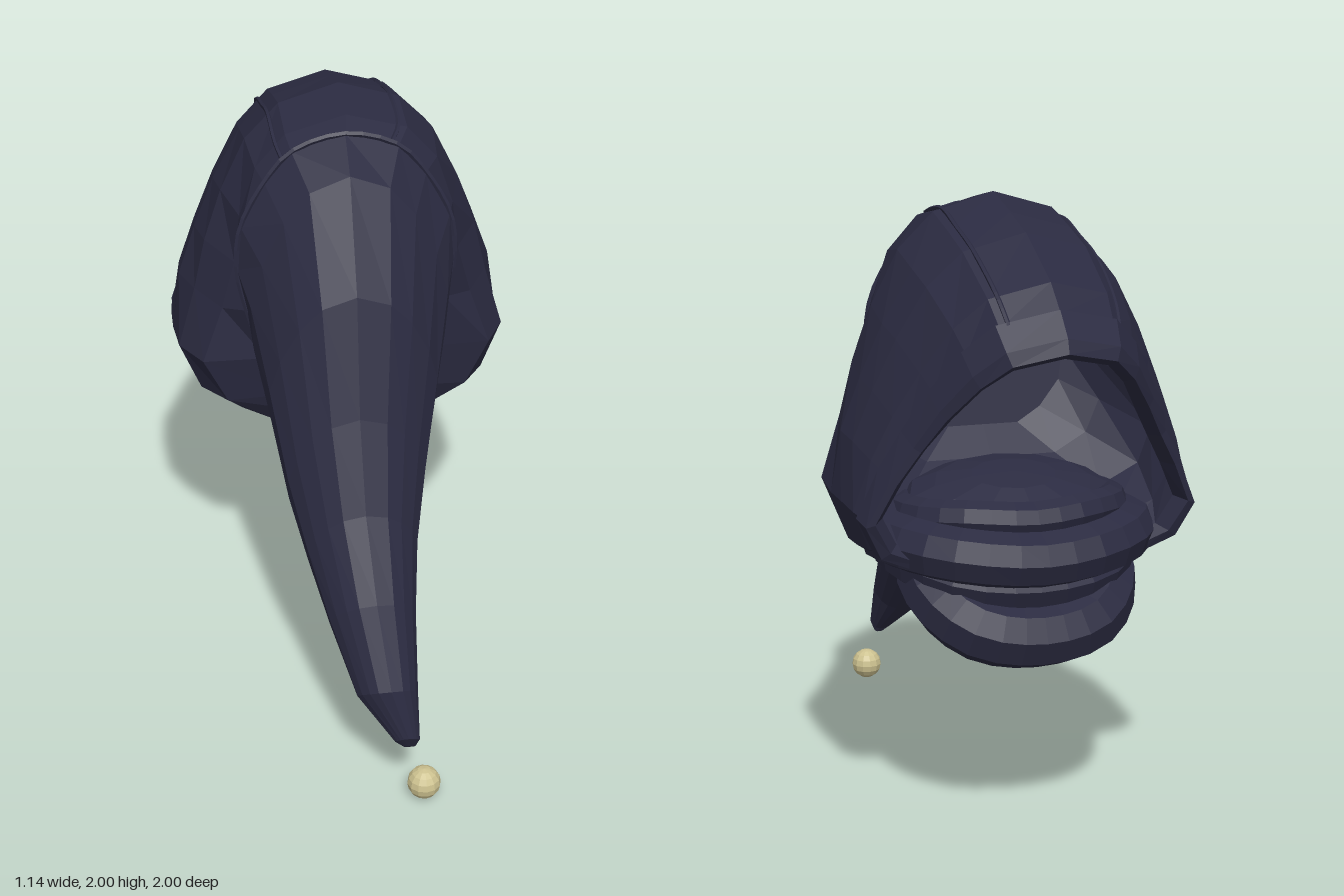
import * as THREE from 'three';

// Heights of the side points of every cloth ring, from bottom (0) to top (1)
const LEVELS = [0, 0.08, 0.22, 0.4, 0.55, 0.7, 0.85, 0.95];

// One closed ring between a bottom and a top point [z, y]; xs are half widths
// at LEVELS, sag bows the sides toward the front, cx shifts the ring sideways
function ring({ top, bottom, xs, sag = 0, cx = 0 }) {
  const at = (x, v) => new THREE.Vector3(
    cx + x,
    THREE.MathUtils.lerp(bottom[1], top[1], v),
    THREE.MathUtils.lerp(bottom[0], top[0], v) + sag * Math.sin(Math.PI * v ** 1.3)
  );
  const side = (s) => LEVELS.map((v, i) => at(s * xs[i], v));
  return [at(0, 0), ...side(1), at(0, 1), ...side(-1).reverse()];
}

// Skin a row of rings, optionally closing the last one with a fan
function skin(rings, capEnd) {
  const n = rings[0].length;
  const points = rings.flat();
  const index = [];
  for (let r = 0; r < rings.length - 1; r++) {
    for (let i = 0; i < n; i++) {
      const j = (i + 1) % n;
      const a = r * n + i, b = r * n + j, c = a + n, d = b + n;
      index.push(a, c, b, b, c, d);
    }
  }
  if (capEnd) {
    const last = rings[rings.length - 1];
    const mid = new THREE.Vector3();
    last.forEach((p) => mid.addScaledVector(p, 1 / n));
    const m = points.push(mid) - 1;
    const base = (rings.length - 1) * n;
    for (let i = 0; i < n; i++) index.push(base + i, m, base + (i + 1) % n);
  }
  const geo = new THREE.BufferGeometry().setFromPoints(points);
  geo.setIndex(index);
  geo.computeVertexNormals();
  return geo;
}

export function createModel() {
  const model = new THREE.Group();
  model.name = 'hoodWithTail';

  const cloth = new THREE.MeshStandardMaterial({ color: 0x2b2b41, flatShading: true, side: THREE.DoubleSide });
  cloth.name = 'navy cloth';
  const beadColour = new THREE.MeshStandardMaterial({ color: 0xcdc290, flatShading: true });
  beadColour.name = 'pale gold';

  const add = (name, geometry, material = cloth) => {
    const mesh = new THREE.Mesh(geometry, material);
    mesh.name = name;
    model.add(mesh);
    return mesh;
  };
  const tube = (name, points, radius, closed, sides = 5, steps = 30) => add(name,
    new THREE.TubeGeometry(new THREE.CatmullRomCurve3(points, closed, 'centripetal'), steps, radius, sides, closed));

  // Hood shell, from the tail seam back to the face opening
  const shell = [
    { top: [-0.02, 1.935], bottom: [0.02, 0.925], xs: [0.1, 0.18, 0.27, 0.33, 0.36, 0.345, 0.265, 0.175], cx: -0.015 },
    { top: [-0.1, 1.965], bottom: [-0.08, 0.85], xs: [0.25, 0.41, 0.49, 0.42, 0.375, 0.355, 0.3, 0.2] },
    { top: [-0.28, 2], bottom: [-0.2, 0.835], xs: [0.35, 0.49, 0.56, 0.5, 0.46, 0.4, 0.315, 0.2] },
    { top: [-0.45, 1.955], bottom: [-0.35, 0.83], xs: [0.38, 0.51, 0.568, 0.54, 0.48, 0.41, 0.315, 0.2] },
    { top: [-0.6, 1.91], bottom: [-0.46, 0.84], xs: [0.38, 0.51, 0.565, 0.53, 0.47, 0.4, 0.31, 0.2], sag: 0.02 },
    { top: [-0.83, 1.79], bottom: [-0.55, 0.86], xs: [0.36, 0.5, 0.555, 0.505, 0.445, 0.37, 0.285, 0.19], sag: 0.05 },
    { top: [-0.92, 1.71], bottom: [-0.585, 0.87], xs: [0.34, 0.48, 0.54, 0.48, 0.415, 0.345, 0.265, 0.18], sag: 0.07 },
  ].map(ring);
  add('hoodShell', skin(shell));

  // Raised hem around the opening, turning inward into the lining
  const hem = [
    { top: [-0.915, 1.72], bottom: [-0.58, 0.865], xs: [0.35, 0.495, 0.555, 0.495, 0.431, 0.361, 0.28, 0.192], sag: 0.07 },
    { top: [-0.985, 1.645], bottom: [-0.65, 0.865], xs: [0.345, 0.487, 0.542, 0.478, 0.41, 0.345, 0.265, 0.18], sag: 0.075 },
    { top: [-1, 1.6], bottom: [-0.66, 0.89], xs: [0.33, 0.46, 0.515, 0.455, 0.39, 0.325, 0.245, 0.165], sag: 0.075 },
    { top: [-0.96, 1.58], bottom: [-0.62, 0.91], xs: [0.31, 0.43, 0.48, 0.42, 0.36, 0.295, 0.225, 0.15], sag: 0.085 },
  ].map(ring);
  add('openingHem', skin([shell[6], ...hem]));

  // Lining inside the hood, its floor rising toward the front
  const lining = [
    { top: [-0.78, 1.74], bottom: [-0.55, 0.96], xs: [0.31, 0.45, 0.5, 0.45, 0.395, 0.325, 0.245, 0.155], sag: 0.05 },
    { top: [-0.45, 1.89], bottom: [-0.4, 1.04], xs: [0.33, 0.46, 0.5, 0.46, 0.41, 0.35, 0.27, 0.17] },
    { top: [-0.18, 1.88], bottom: [-0.27, 1.13], xs: [0.22, 0.33, 0.38, 0.36, 0.34, 0.3, 0.25, 0.16] },
    { top: [-0.08, 1.82], bottom: [-0.18, 1.22], xs: [0.12, 0.2, 0.27, 0.29, 0.29, 0.27, 0.21, 0.13] },
  ].map(ring);
  add('hoodLining', skin([hem[3], ...lining], true));

  // Long drooping tail
  const tail = [
    { top: [0.12, 1.85], bottom: [0.1, 0.845], w: 0.325, cx: -0.02 },
    { top: [0.37, 1.55], bottom: [0.22, 0.755], w: 0.275, cx: -0.035 },
    { top: [0.5, 1.18], bottom: [0.36, 0.63], w: 0.225, cx: -0.045 },
    { top: [0.63, 0.9], bottom: [0.48, 0.55], w: 0.18, cx: -0.045 },
    { top: [0.8, 0.67], bottom: [0.62, 0.45], w: 0.14, cx: -0.035 },
    { top: [0.94, 0.43], bottom: [0.79, 0.31], w: 0.098, cx: -0.01 },
    { top: [0.96, 0.25], bottom: [0.91, 0.2], w: 0.04, cx: 0.045 },
    { top: [0.935, 0.2], bottom: [0.92, 0.185], w: 0.018, cx: 0.055 },
  ].map(({ w, ...s }) => ring({ ...s, xs: [0.35, 0.65, 0.86, 0.98, 1, 0.88, 0.66, 0.4].map((f) => f * w) }));
  add('tail', skin([shell[0], ...tail], true));

  // Seams: one around the tail base, two along the crown
  tube('tailSeam', shell[0], 0.01, true, 5, 48);
  const crown = LEVELS.length + 1;
  tube('leftCrownSeam', shell.map((r) => r[crown - 1].clone().lerp(r[crown], 0.15)), 0.008, false);
  tube('rightCrownSeam', shell.map((r) => r[crown + 1].clone().lerp(r[crown + 2], 0.3)), 0.008, false);

  // Scarf rolls bunched under the opening, given as half loops and mirrored
  const roll = (name, half, radius) => {
    const pts = half.map((p) => new THREE.Vector3(...p));
    const mirrored = pts.slice(1, -1).reverse().map((p) => new THREE.Vector3(-p.x, p.y, p.z));
    tube(name, [...pts, ...mirrored], radius, true, 8, 26);
  };
  roll('collarFold', [[0, 1.02, -0.69], [0.18, 1.03, -0.66], [0.31, 1.02, -0.54], [0.32, 1.01, -0.36], [0, 1.03, -0.24]], 0.06);
  roll('upperScarfRoll', [[0, 0.91, -0.76], [0.2, 0.925, -0.73], [0.35, 0.94, -0.6], [0.39, 0.94, -0.36], [0, 0.93, -0.2]], 0.09);
  roll('middleScarfRoll', [[0, 0.81, -0.7], [0.22, 0.83, -0.66], [0.34, 0.87, -0.5], [0.32, 0.89, -0.25], [0, 0.89, -0.14]], 0.08);
  roll('lowerScarfRoll', [[0, 0.66, -0.73], [0.18, 0.69, -0.7], [0.28, 0.78, -0.58], [0.26, 0.87, -0.45], [0, 0.9, -0.4]], 0.108);

  // Folded cloth filling the scarf: a mound in the opening and a rounded underside
  const bulge = (name, position, scale, tilt) => {
    const mesh = add(name, new THREE.SphereGeometry(1, 12, 8));
    mesh.position.set(...position);
    mesh.scale.set(...scale);
    mesh.rotation.x = tilt;
  };
  bulge('scarfMound', [0, 1.02, -0.47], [0.37, 0.12, 0.27], -0.25);
  bulge('scarfUnderside', [0, 0.775, -0.57], [0.3, 0.125, 0.23], -0.64);

  // Bead hanging just below the tail tip
  add('bead', new THREE.SphereGeometry(0.055, 12, 8), beadColour).position.set(0.1, 0.055, 0.945);

  return model;
}
